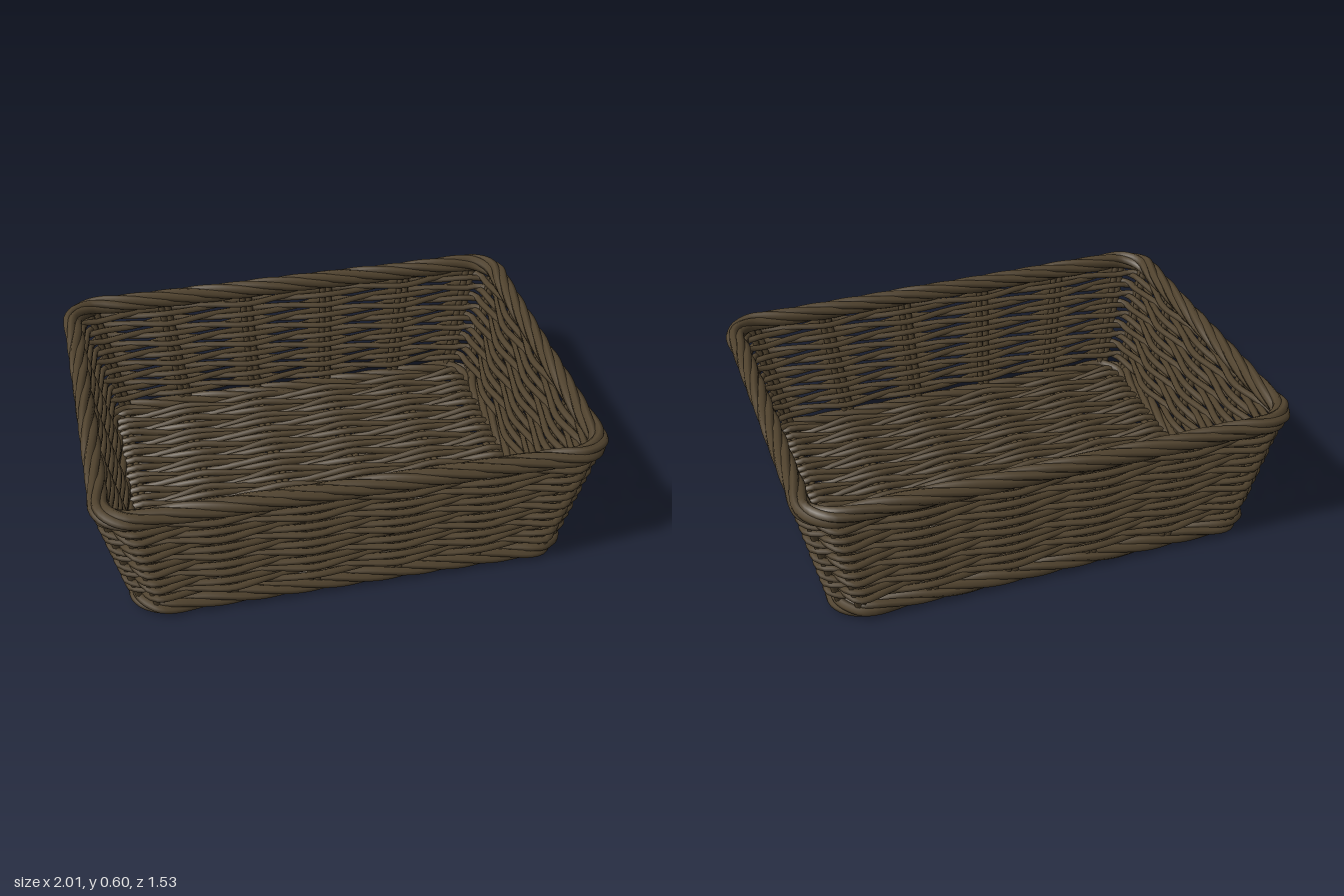
import * as THREE from 'three';

const wicker = new THREE.MeshStandardMaterial({ color: 0x52442f });
wicker.name = 'dark brown wicker';

const LOW = { y: 0.045, x: 0.845, z: 0.643 };   // wall centre line at the base
const HIGH = { y: 0.57, x: 0.958, z: 0.72 };    // wall centre line at the rim
const FRONT_STAKES = [-0.91, -0.58, -0.195, 0.195, 0.58, 0.91]; // share of half width
const SIDE_STAKES = [0.89, 0.48, 0, -0.48, -0.89];              // share of half depth
const ROD = 0.0145;

const vec = (x, y, z) => new THREE.Vector3(x, y, z);

function strand(name, points, radius, segments, closed = false) {
  const curve = new THREE.CatmullRomCurve3(points, closed);
  curve.arcLengthDivisions = segments * 4;
  const mesh = new THREE.Mesh(new THREE.TubeGeometry(curve, segments, radius, 6, closed), wicker);
  mesh.name = name;
  return mesh;
}

// Half width and half depth of the flaring wall at height y
function wallAt(y) {
  const t = (y - LOW.y) / (HIGH.y - LOW.y);
  return { x: THREE.MathUtils.lerp(LOW.x, HIGH.x, t), z: THREE.MathUtils.lerp(LOW.z, HIGH.z, t) };
}

// Stake positions around the wall at height y, with their outward directions
function stakesAt(y) {
  const w = wallAt(y), half = [];
  for (const f of FRONT_STAKES) half.push({ p: vec(f * w.x, y, w.z), n: vec(0, 0, 1) });
  for (const f of SIDE_STAKES) half.push({ p: vec(w.x, y, f * w.z), n: vec(1, 0, 0) });
  const turn = (v, sign) => vec(v.x * sign, v.y, v.z * sign);
  return [...half, ...half.map(({ p, n }) => ({ p: turn(p, -1), n: turn(n, -1) }))];
}

// Closed loop around the wall; weave is the in-and-out amount, lift the crossing height
function wallLoop(y, weave = 0, lift = 0) {
  const w = wallAt(y), stakes = stakesAt(y), points = [];
  stakes.forEach((s, i) => {
    const next = stakes[(i + 1) % stakes.length];
    const sign = i % 2 ? -1 : 1;
    points.push(s.p.clone().addScaledVector(s.n, sign * weave));
    const mid = s.p.clone().lerp(next.p, 0.5);
    if (s.n.dot(next.n) < 0.5) {
      mid.x = Math.sign(mid.x) * (w.x - 0.032);
      mid.z = Math.sign(mid.z) * (w.z - 0.032);
    }
    mid.y += lift;
    points.push(mid);
  });
  return points;
}

// Rope of twisted strands following the wall
function rope(name, y, count, offset, radius, turns) {
  const group = new THREE.Group();
  group.name = name;
  const path = new THREE.CatmullRomCurve3(wallLoop(y), true);
  path.arcLengthDivisions = 800;
  const up = vec(0, 1, 0), samples = 150;
  for (let k = 0; k < count; k++) {
    const points = [];
    for (let i = 0; i < samples; i++) {
      const u = i / samples;
      const out = path.getTangentAt(u).cross(up).normalize();
      const a = -Math.PI * 2 * (turns * u + k / count);
      points.push(path.getPointAt(u)
        .addScaledVector(out, Math.cos(a) * offset)
        .addScaledVector(up, Math.sin(a) * offset));
    }
    group.add(strand('ropeStrand', points, radius, 280, true));
  }
  return group;
}

function wallWeave() {
  const group = new THREE.Group();
  group.name = 'wallWeave';
  const rows = 9;
  for (let r = 0; r < rows; r++) {
    const y = 0.115 + r * 0.0495;
    for (const s of [-1, 1]) {
      const side = r % 2 ? s : -s;
      group.add(strand('wallStrand', wallLoop(y, side * 0.024, s * 0.007), ROD, 220, true));
    }
  }
  return group;
}

// Paired upright rods
function wallStakes() {
  const group = new THREE.Group();
  group.name = 'wallStakes';
  const bottom = stakesAt(LOW.y), top = stakesAt(HIGH.y);
  bottom.forEach((b, i) => {
    const along = vec(b.n.z, 0, -b.n.x);
    for (const s of [-0.014, 0.014]) {
      const shift = along.clone().multiplyScalar(s);
      group.add(strand('stake', [b.p.clone().add(shift), top[i].p.clone().add(shift)], ROD, 4));
    }
  });
  return group;
}

function floorWeave() {
  const group = new THREE.Group();
  group.name = 'floor';
  const y = 0.04, xs = FRONT_STAKES.map(f => f * LOW.x * 1.02);
  // Paired rods running front to back
  for (const x of xs) for (const s of [-0.014, 0.014]) {
    group.add(strand('floorStake', [vec(x + s, y, -LOW.z), vec(x + s, y, LOW.z)], ROD, 4));
  }
  // Twined strands running left to right
  const rows = 25;
  for (let r = 0; r < rows; r++) {
    const z0 = -0.597 + r * 1.194 / (rows - 1);
    for (const s of [-1, 1]) {
      const flip = r % 2 ? s : -s;
      const points = [vec(-0.828, y, z0)];
      xs.forEach((x, i) => {
        const wobble = 0.006 * Math.sin(r * 1.7 + i * 2.3);
        points.push(vec(x, y + flip * (i % 2 ? -0.02 : 0.02), z0 + wobble));
        if (i < xs.length - 1) points.push(vec((x + xs[i + 1]) / 2, y, z0 + s * 0.009 + wobble));
      });
      points.push(vec(0.828, y, z0));
      group.add(strand('floorStrand', points, ROD, 56));
    }
  }
  return group;
}

export function createModel() {
  const basket = new THREE.Group();
  basket.name = 'basket';
  basket.add(
    rope('rim', HIGH.y, 5, 0.022, 0.019, 9),
    rope('baseEdge', LOW.y, 4, 0.02, 0.018, 9),
    wallWeave(),
    wallStakes(),
    floorWeave(),
  );
  return basket;
}
